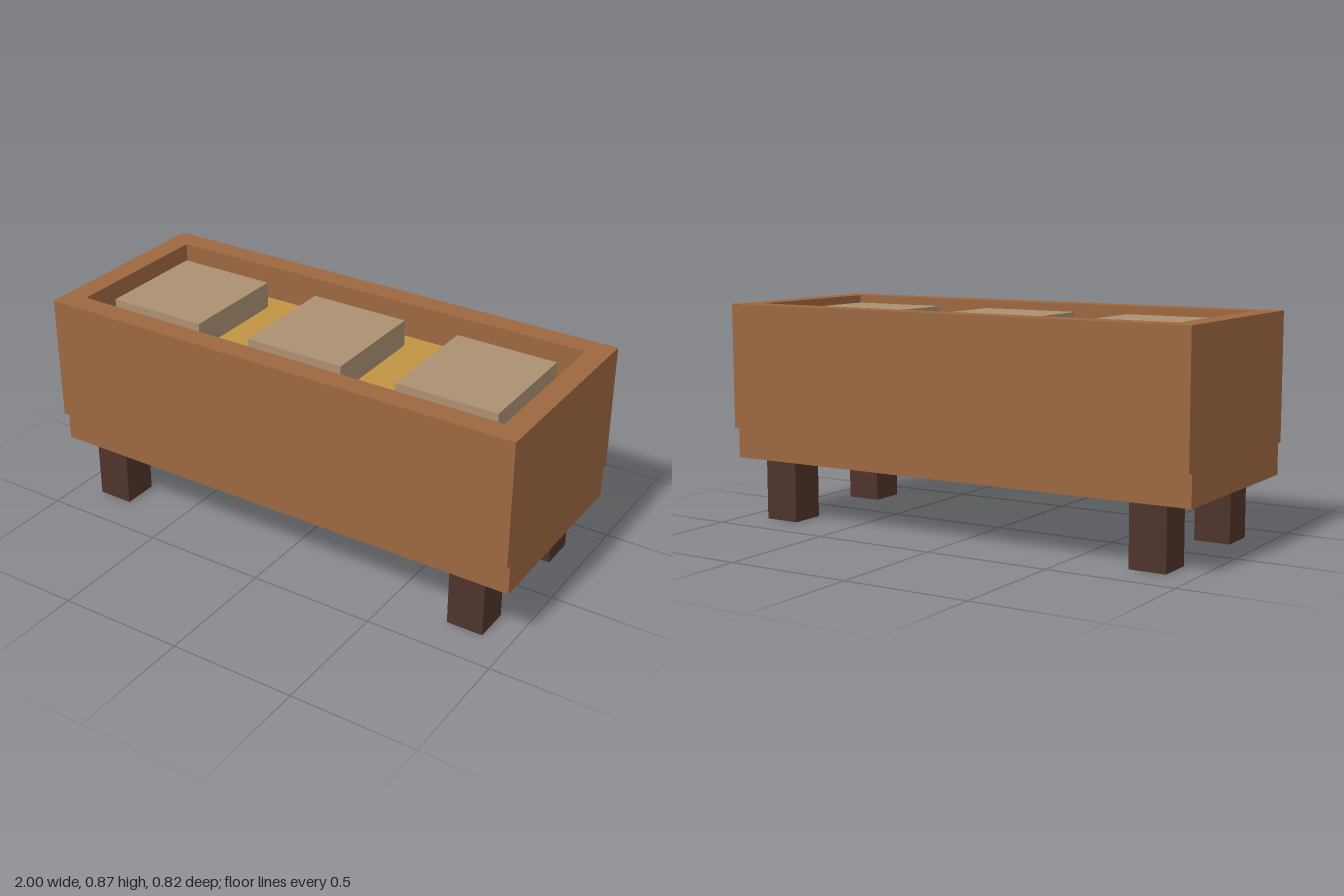
import * as THREE from 'three';

const wood = new THREE.MeshStandardMaterial({ color: 0x9c6840 });
wood.name = 'wood';
const darkWood = new THREE.MeshStandardMaterial({ color: 0x50332c });
darkWood.name = 'darkWood';
const straw = new THREE.MeshStandardMaterial({ color: 0xc09444 });
straw.name = 'straw';
const stone = new THREE.MeshStandardMaterial({ color: 0xab9072 });
stone.name = 'paleBrown';

// Box given by its centre in x and z, and its bottom and top in y
function box(parent, name, material, w, d, y0, y1, x = 0, z = 0) {
  const mesh = new THREE.Mesh(new THREE.BoxGeometry(w, y1 - y0, d), material);
  mesh.position.set(x, (y0 + y1) / 2, z);
  mesh.name = name;
  parent.add(mesh);
}

export function createModel() {
  const group = new THREE.Group();
  group.name = 'trough';

  // Base board
  box(group, 'base', wood, 2, 0.77, 0.248, 0.37);

  // Rim walls: one extruded frame with a rectangular opening
  const frame = new THREE.Shape();
  frame.moveTo(-1, -0.409).lineTo(1, -0.409).lineTo(1, 0.409).lineTo(-1, 0.409).closePath();
  const hole = new THREE.Path();
  hole.moveTo(-0.912, -0.318).lineTo(-0.912, 0.318).lineTo(0.912, 0.318).lineTo(0.912, -0.318).closePath();
  frame.holes.push(hole);
  const wallGeometry = new THREE.ExtrudeGeometry(frame, { depth: 0.5, bevelEnabled: false });
  wallGeometry.rotateX(-Math.PI / 2);
  const walls = new THREE.Mesh(wallGeometry, wood);
  walls.position.y = 0.37;
  walls.name = 'walls';
  group.add(walls);

  // Filling and the three blocks lying in it
  box(group, 'filling', straw, 1.824, 0.61, 0.37, 0.738);
  for (const x of [-0.639, 0, 0.639]) {
    box(group, 'block', stone, 0.41, 0.455, 0.7, 0.845, x);
  }

  // Legs
  for (const sx of [-1, 1]) {
    for (const sz of [-1, 1]) {
      box(group, 'leg', darkWood, 0.145, 0.145, 0, 0.248, sx * 0.818, sz * 0.273);
    }
  }
  return group;
}
